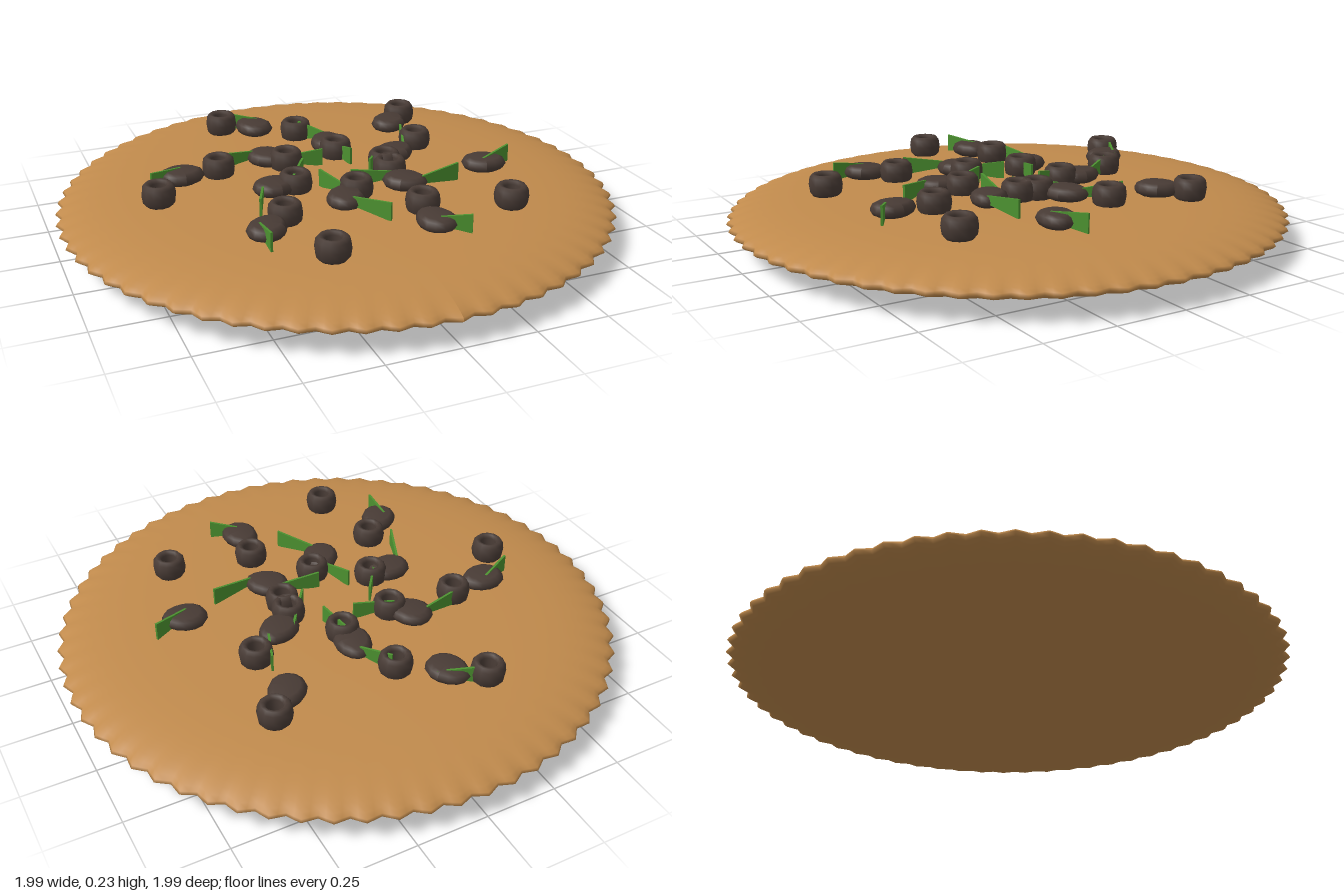
import * as THREE from 'three';

const mat = (name, color, side = THREE.FrontSide) => {
  const m = new THREE.MeshStandardMaterial({ color, side });
  m.name = name;
  return m;
};
const v2 = (pts) => pts.map(([x, y]) => new THREE.Vector2(x, y));

export function createModel() {
  const group = new THREE.Group();
  const crustMat = mat('baked crust', 0xc08a4c);
  const darkMat = mat('dark brown topping', 0x483b35);
  const greenMat = mat('green pepper', 0x4c9130, THREE.DoubleSide);

  const add = (name, geo, material, x = 0, y = 0, z = 0, turn = 0) => {
    const mesh = new THREE.Mesh(geo, material);
    mesh.name = name;
    mesh.position.set(x, y, z);
    mesh.rotation.y = turn;
    group.add(mesh);
    return mesh;
  };

  // Crust: a shallow lens whose rim is crimped into 64 small teeth
  const profile = new THREE.SplineCurve(v2([
    [0, 0.004], [0.3, 0.012], [0.55, 0.026], [0.78, 0.045], [0.92, 0.064], [0.985, 0.09],
    [0.94, 0.119], [0.84, 0.142], [0.68, 0.156], [0.4, 0.164], [0, 0.166],
  ])).getPoints(30);
  profile[0].x = profile[30].x = 0;
  const crust = new THREE.LatheGeometry(profile, 256);
  const p = crust.attributes.position;
  for (let i = 0; i < p.count; i++) {
    const x = p.getX(i), z = p.getZ(i);
    const r = Math.hypot(x, z);
    const k = 1 + 0.014 * Math.cos(64 * Math.atan2(x, z)) * Math.pow(r, 14);
    p.setX(i, x * k);
    p.setZ(i, z * k);
  }
  crust.computeVertexNormals();
  add('crust', crust, crustMat);

  // Olive rings: tall rounded bands with a hole
  const ring = new THREE.LatheGeometry(v2([
    [0.027, 0.012], [0.034, 0.002], [0.046, 0], [0.056, 0.012], [0.06, 0.04],
    [0.056, 0.066], [0.046, 0.078], [0.034, 0.076], [0.027, 0.066], [0.027, 0.012],
  ]), 12);
  [
    [-0.25, -0.6], [0, -0.425], [0.46, -0.46], [-0.39, -0.165], [-0.14, -0.14], [0.07, -0.18],
    [0.39, -0.165], [-0.65, 0], [0.19, 0], [-0.18, 0.07], [0.18, 0.07], [0, 0.19],
    [-0.3, 0.3], [0.16, 0.385], [0.46, 0.455], [-0.25, 0.6],
  ].forEach(([x, z]) => add('oliveRing', ring, darkMat, x, 0.157, z));

  // Slices: flat rounded ovals, slightly egg shaped along x
  const slice = new THREE.LatheGeometry(v2([
    [0, 0], [0.045, 0.002], [0.058, 0.01], [0.065, 0.025], [0.058, 0.042], [0.045, 0.05], [0, 0.05],
  ]), 14);
  const s = slice.attributes.position;
  for (let i = 0; i < s.count; i++) {
    const x = s.getX(i);
    s.setZ(i, s.getZ(i) * (1 - 2 * x));
    s.setX(i, x * 1.25);
  }
  slice.computeVertexNormals();
  [
    [-0.53, -0.145, 0], [-0.14, -0.53, 2], [0.07, -0.26, 1.5], [0.38, -0.38, 0.9],
    [-0.19, -0.2, -0.9], [-0.255, 0.07, 0.1], [-0.39, 0.385, 0.9], [-0.065, 0.25, 1.1],
    [0.185, 0.19, -0.7], [0.265, -0.075, 0.5], [0.525, 0.14, -0.3], [0.14, 0.525, 1.7],
  ].forEach(([x, z, turn]) => add('slice', slice, darkMat, x, 0.163, z, turn));

  // Pepper strips: thin upright plates, narrow at the first end and tall at the other
  [
    [-0.5, -0.18, -0.65, -0.11], [-0.22, -0.23, -0.4, -0.2], [-0.16, -0.14, -0.01, -0.11],
    [-0.31, 0.1, -0.365, 0.24], [-0.2, 0.08, -0.11, -0.05], [-0.04, 0.2, -0.09, 0.07],
    [-0.08, 0.27, 0.025, 0.43], [0.165, 0.14, 0.01, 0.115], [0.22, 0.225, 0.39, 0.195],
    [0.22, -0.1, 0.11, 0.05], [0.31, -0.09, 0.365, -0.24], [0.09, -0.29, 0.01, -0.42],
    [0.06, -0.2, 0.09, -0.075], [0.48, 0.17, 0.645, 0.1], [0.12, 0.54, 0.23, 0.61],
    [-0.415, 0.35, -0.415, 0.5], [-0.09, -0.54, -0.22, -0.61],
  ].forEach(([x0, z0, x1, z1]) => {
    const length = Math.hypot(x1 - x0, z1 - z0);
    const shape = new THREE.Shape(v2([
      [0, -0.012], [length, -0.035], [length, 0.032], [0, 0.012],
    ]));
    const geo = new THREE.ExtrudeGeometry(shape, { depth: 0.008, bevelEnabled: false });
    geo.translate(0, 0, -0.004);
    add('pepperStrip', geo, greenMat, x0, 0.197, z0, -Math.atan2(z1 - z0, x1 - x0));
  });

  return group;
}
